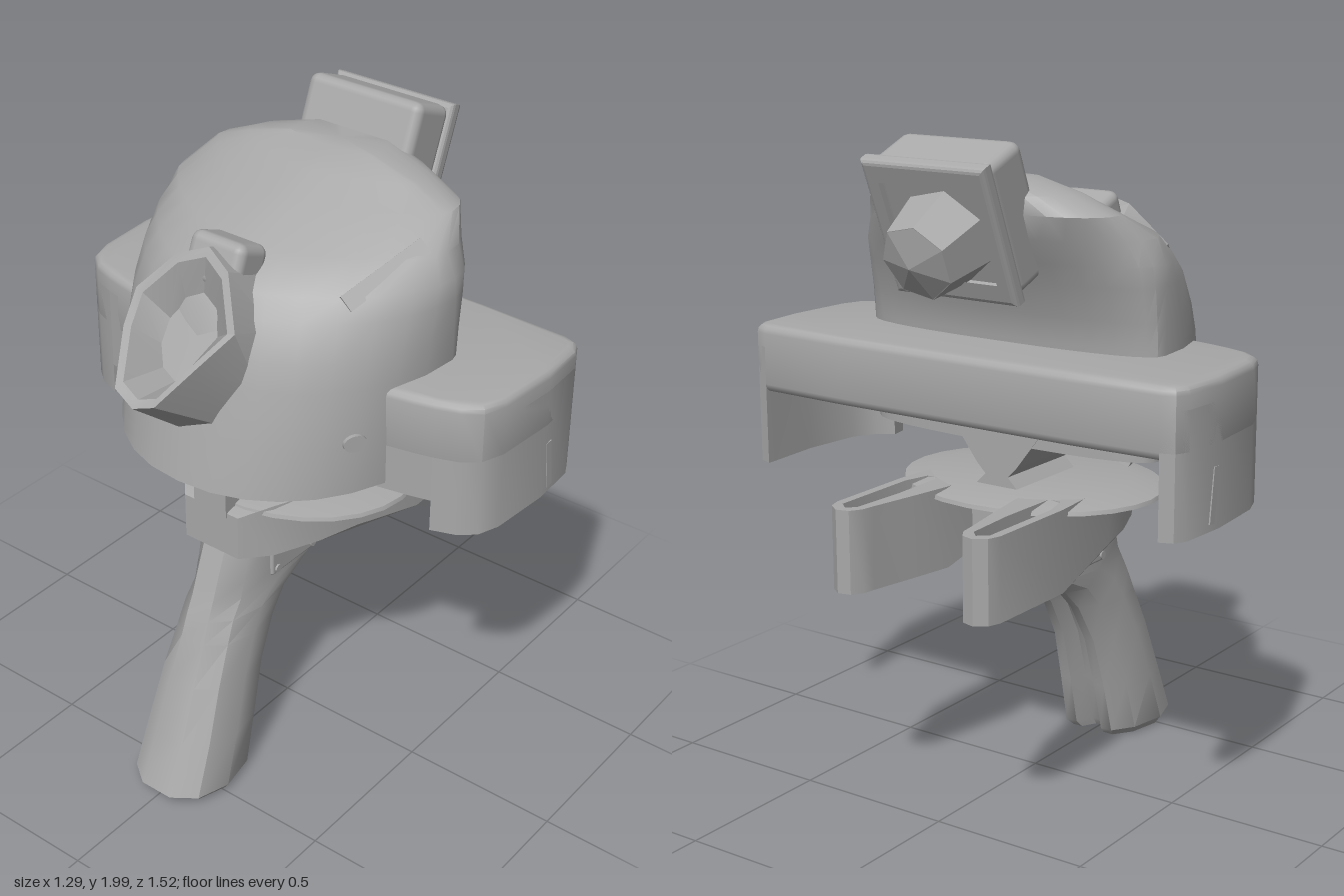
import * as THREE from 'three';
import { toCreasedNormals } from 'three/addons/utils/BufferGeometryUtils.js';
import { RoundedBoxGeometry } from 'three/addons/geometries/RoundedBoxGeometry.js';

const grey = new THREE.MeshStandardMaterial({ color: 0xa8a8a8 });
grey.name = 'plainGrey';
grey.side = THREE.DoubleSide;

// Joins rings of points (counter-clockwise around the rising axis) and caps both ends
function loft(rings, crease = 0.6) {
  const n = rings[0].length, pos = [], idx = [];
  rings.forEach(r => r.forEach(p => pos.push(...p)));
  for (let k = 0; k < rings.length - 1; k++) {
    for (let i = 0; i < n; i++) {
      const a = k * n + i, b = k * n + (i + 1) % n;
      idx.push(a, b, b + n, a, b + n, a + n);
    }
  }
  [0, rings.length - 1].forEach((k, end) => {
    const c = [0, 1, 2].map(j => rings[k].reduce((s, p) => s + p[j] / n, 0));
    const ci = pos.length / 3;
    pos.push(...c);
    for (let i = 0; i < n; i++) {
      const a = k * n + i, b = k * n + (i + 1) % n;
      idx.push(ci, ...(end ? [a, b] : [b, a]));
    }
  });
  const g = new THREE.BufferGeometry();
  g.setAttribute('position', new THREE.Float32BufferAttribute(pos, 3));
  g.setIndex(idx);
  return toCreasedNormals(g, crease);
}

// Extrudes an outline of [x, z] points from y0 up to y1
function slab(points, y0, y1, bevel = 0, holes = []) {
  const v = pts => pts.map(([x, z]) => new THREE.Vector2(x, -z));
  const s = new THREE.Shape(v(points));
  s.holes = holes.map(h => new THREE.Path(v(h)));
  const g = new THREE.ExtrudeGeometry(s, {
    depth: y1 - y0 - 2 * bevel, bevelEnabled: bevel > 0, bevelSize: bevel,
    bevelThickness: bevel, bevelOffset: -bevel, bevelSegments: 3,
  });
  return g.translate(0, 0, bevel).rotateX(-Math.PI / 2).translate(0, y0, 0);
}

const flip = pts => pts.map(([x, z]) => [x, -z]).reverse();

export function createModel() {
  const model = new THREE.Group();
  const add = (name, geo, parent = model) => {
    const m = new THREE.Mesh(geo, grey);
    m.name = name;
    parent.add(m);
    return m;
  };

  // Domed hull: y, rear x, front x, half width, rear roundness
  const levels = [
    [1.10, -0.50, 0.20, 0.50, 2.15], [1.25, -0.47, 0.20, 0.505, 2.15], [1.42, -0.43, 0.20, 0.51, 2.1],
    [1.50, -0.41, 0.22, 0.51, 2], [1.60, -0.37, 0.26, 0.51, 1.8], [1.66, -0.33, 0.29, 0.505, 1.6],
    [1.73, -0.20, 0.33, 0.475, 1.5], [1.80, -0.03, 0.355, 0.42, 1.4], [1.85, 0.08, 0.36, 0.30, 1.4],
    [1.89, 0.18, 0.35, 0.15, 1.5],
  ];
  add('hullDome', loft(levels.map(([y, xb, xf, w, p]) => {
    const mid = Math.min(0.1, xf - 0.1) + (y > 1.79 ? 0.1 : 0);
    return Array.from({ length: 32 }, (_, i) => {
      const t = i / 32 * Math.PI * 2, c = Math.cos(t), s = Math.sin(t), e = c > 0 ? 2.6 : p;
      return [mid + Math.sign(c) * Math.abs(c) ** (2 / e) * (c > 0 ? xf - mid : mid - xb), y,
        -Math.sign(s) * Math.abs(s) ** (2 / e) * w];
    });
  })));

  // Rear horn: flared cup whose mouth opens up and back, ending in a pointed lower lip
  const cup = (cx, cy, r, w, tilt) => Array.from({ length: 10 }, (_, i) => {
    const t = (i / 10) * Math.PI * 2, c = Math.cos(t) * r;
    return [cx + c * Math.cos(tilt), cy + c * Math.sin(tilt), -0.02 - Math.sin(t) * w];
  });
  const rim = [[-0.34, 1.775, 0], [-0.37, 1.74, -0.09], [-0.42, 1.62, -0.2], [-0.5, 1.54, -0.18],
    [-0.63, 1.43, -0.1], [-0.65, 1.405, -0.02], [-0.64, 1.43, 0.05], [-0.55, 1.53, 0.12],
    [-0.43, 1.6, 0.16], [-0.37, 1.74, 0.09]];
  const inner = rim.map(([x, y, z]) => [-0.47 + (x + 0.47) * 0.88, 1.57 + (y - 1.57) * 0.88, z * 0.86]);
  add('rearHorn', loft([cup(-0.31, 1.47, 0.27, 0.2, 1.1), rim, inner, cup(-0.41, 1.51, 0.12, 0.09, 1)], 0.45));
  const hood = add('hornHood', new RoundedBoxGeometry(0.13, 0.14, 0.19, 2, 0.03));
  hood.position.set(-0.275, 1.705, 0);
  hood.rotation.z = -0.4;

  // Wide bumper shell: top slab and a wrapped wall at each end, cut higher next to the hull
  const half = [[-0.15, 0.44], [-0.13, 0.54], [-0.115, 0.6], [-0.09, 0.67], [-0.05, 0.72], [0.02, 0.745],
    [0.22, 0.76], [0.37, 0.75], [0.41, 0.73], [0.425, 0.69], [0.435, 0.4]];
  add('bumperTop', toCreasedNormals(slab([...half, ...flip(half)], 1.2, 1.405, 0.025), 0.6));
  const wall = [...half.slice(2, 10), [0.40, 0.69], [0.22, 0.70], [0.04, 0.68], [-0.03, 0.64], [-0.06, 0.59]];
  const web = [half[0], half[1], half[2], [-0.06, 0.6], [-0.09, 0.44]];
  for (const s of [1, -1]) {
    const side = s > 0 ? 'left' : 'right';
    const place = pts => (s > 0 ? pts : flip(pts));
    add(side + 'BumperWall', toCreasedNormals(slab(place(wall), 0.98, 1.34), 0.6));
    add(side + 'BumperWeb', slab(place(web), 1.08, 1.34));
    const vent = add(side + 'BumperVent', new THREE.BoxGeometry(0.025, 0.16, 0.008));
    vent.position.set(0.25, 1.08, s * 0.757);
    vent.rotation.z = 0.12;
    const bolt = add(side + 'HullBolt', new THREE.CylinderGeometry(0.035, 0.035, 0.012, 16).rotateX(Math.PI / 2));
    bolt.position.set(-0.24, 1.265, s * 0.425);
    bolt.rotation.y = -s * 0.55;
    bolt.scale.y = 0.75;
  }

  // Raised strip lying on the left of the hull
  const strip = add('hullStrip', new THREE.BoxGeometry(0.05, 0.009, 0.28));
  strip.position.set(-0.06, 1.7, 0.385);
  strip.up.set(-0.45, 0.6, 0.65);
  strip.lookAt(0.18, 1.805, 0.47);

  // Tilted front sensor: housing, frame and faceted lens
  const sensor = new THREE.Group();
  sensor.name = 'frontSensor';
  sensor.position.set(0.37, 1.785, 0);
  sensor.rotation.z = -0.385;
  model.add(sensor);
  const housing = add('sensorHousing', new RoundedBoxGeometry(0.17, 0.4, 0.4, 2, 0.03), sensor);
  housing.position.x = -0.015;
  const rect = (w, h) => [[-w, -h], [w, -h], [w, h], [-w, h]];
  const frame = add('sensorFrame', slab(rect(0.21, 0.21), 0, 0.05, 0.015, [rect(0.175, 0.16)]), sensor);
  frame.rotation.set(0, Math.PI / 2, -Math.PI / 2, 'ZYX');
  frame.position.x = 0.055;
  const lens = add('sensorLens', new THREE.CylinderGeometry(0.115, 0.15, 0.17, 7).toNonIndexed(), sensor);
  lens.geometry.computeVertexNormals();
  lens.rotation.z = -Math.PI / 2;
  lens.position.set(0.135, -0.025, 0);
  const tip = add('lensTip', new THREE.ConeGeometry(0.115, 0.035, 7).toNonIndexed(), sensor);
  tip.geometry.computeVertexNormals();
  tip.rotation.z = -Math.PI / 2;
  tip.position.set(0.237, -0.025, 0);

  // Wedge mount hanging under the shell
  const wedge = new THREE.Shape([[-0.17, 1.24], [-0.17, 1.16], [-0.07, 1.03], [-0.04, 1.0], [-0.09, 0.95],
    [-0.09, 0.78], [0.09, 0.78], [0.09, 0.95], [0.04, 1.0], [0.07, 1.03], [0.17, 1.16], [0.17, 1.24],
  ].map(p => new THREE.Vector2(...p)));
  add('wedgeMount', new THREE.ExtrudeGeometry(wedge, { depth: 0.3, bevelEnabled: false })
    .rotateY(Math.PI / 2).translate(-0.1, 0, 0));

  // Forked lower body with two slotted prongs, its underside sloping down to the front
  const arm = [[-0.36, 0.1], [-0.28, 0.17], [-0.14, 0.23], [0, 0.265], [0.28, 0.29], [0.58, 0.288],
    [0.62, 0.275], [0.645, 0.24], [0.635, 0.2], [0.6, 0.178], [0.56, 0.172], [0.42, 0.145],
    [0.28, 0.12], [0.05, 0.11]];
  const slot = [[0.22, 0.2], [0.42, 0.195], [0.59, 0.205], [0.615, 0.23], [0.59, 0.26], [0.3, 0.262], [0.22, 0.24]];
  const fork = slab([...arm, ...flip(arm)], 0, 1, 0, [slot, flip(slot)]);
  const p = fork.attributes.position;
  for (let i = 0; i < p.count; i++) {
    const x = p.getX(i);
    const low = x < 0 ? 0.79 : Math.max(0.715, 0.785 - x * 0.25);
    p.setY(i, p.getY(i) > 0.5 ? (x < -0.3 ? 0.935 : 0.965) : low);
  }
  fork.computeVertexNormals();
  add('forkBody', toCreasedNormals(fork, 0.5));

  // Thin flange spreading from the top of the fork
  const flange = (y, k) => Array.from({ length: 28 }, (_, i) => {
    const t = i / 28 * Math.PI * 2;
    return [0.01 + Math.cos(t) * 0.34 * k, y, -Math.sin(t) * 0.42 * k];
  });
  add('forkFlange', loft([flange(0.92, 0.7), flange(0.938, 1), flange(0.95, 0.99), flange(0.968, 0.75)]));
  add('rearPost', new THREE.BoxGeometry(0.15, 0.12, 0.12)).position.set(-0.29, 0.98, 0);

  // Slanted pistol grip with a groove down the front: y, rear x, front x, half width
  const section = [[1, 0.3], [1, 0.55], [0.8, 0.85], [0.45, 1], [0.15, 0.8], [0, 0.35]];
  const loop = [[0.84, 0.12], ...section, ...section.map(([u, w]) => [u, -w]).reverse(), [0.84, -0.12]];
  add('grip', loft([
    [0.01, -0.62, -0.33, 0.14], [0.035, -0.65, -0.305, 0.158], [0.2, -0.58, -0.265, 0.15],
    [0.37, -0.515, -0.215, 0.135], [0.5, -0.46, -0.14, 0.122], [0.57, -0.435, -0.07, 0.116],
    [0.625, -0.41, 0.07, 0.112], [0.68, -0.39, 0.055, 0.112], [0.8, -0.345, 0.0, 0.112],
  ].map(([y, xb, xf, w]) => loop.map(([u, s]) => [xb + u * (xf - xb), y, -s * w]))));
  const nose = add('gripNose', new RoundedBoxGeometry(0.14, 0.15, 0.17, 2, 0.04));
  nose.position.set(-0.03, 0.71, 0);

  // Screwed side plates
  for (const s of [1, -1]) {
    const plate = add('gripPlate', new RoundedBoxGeometry(0.22, 0.13, 0.02, 2, 0.009));
    plate.position.set(-0.11, 0.715, s * 0.106);
    for (const x of [-0.195, -0.025]) for (const y of [0.67, 0.76]) {
      const screw = add('plateScrew', new THREE.CylinderGeometry(0.013, 0.013, 0.012, 12).rotateX(Math.PI / 2));
      screw.position.set(x, y, s * 0.116);
    }
  }
  return model;
}
